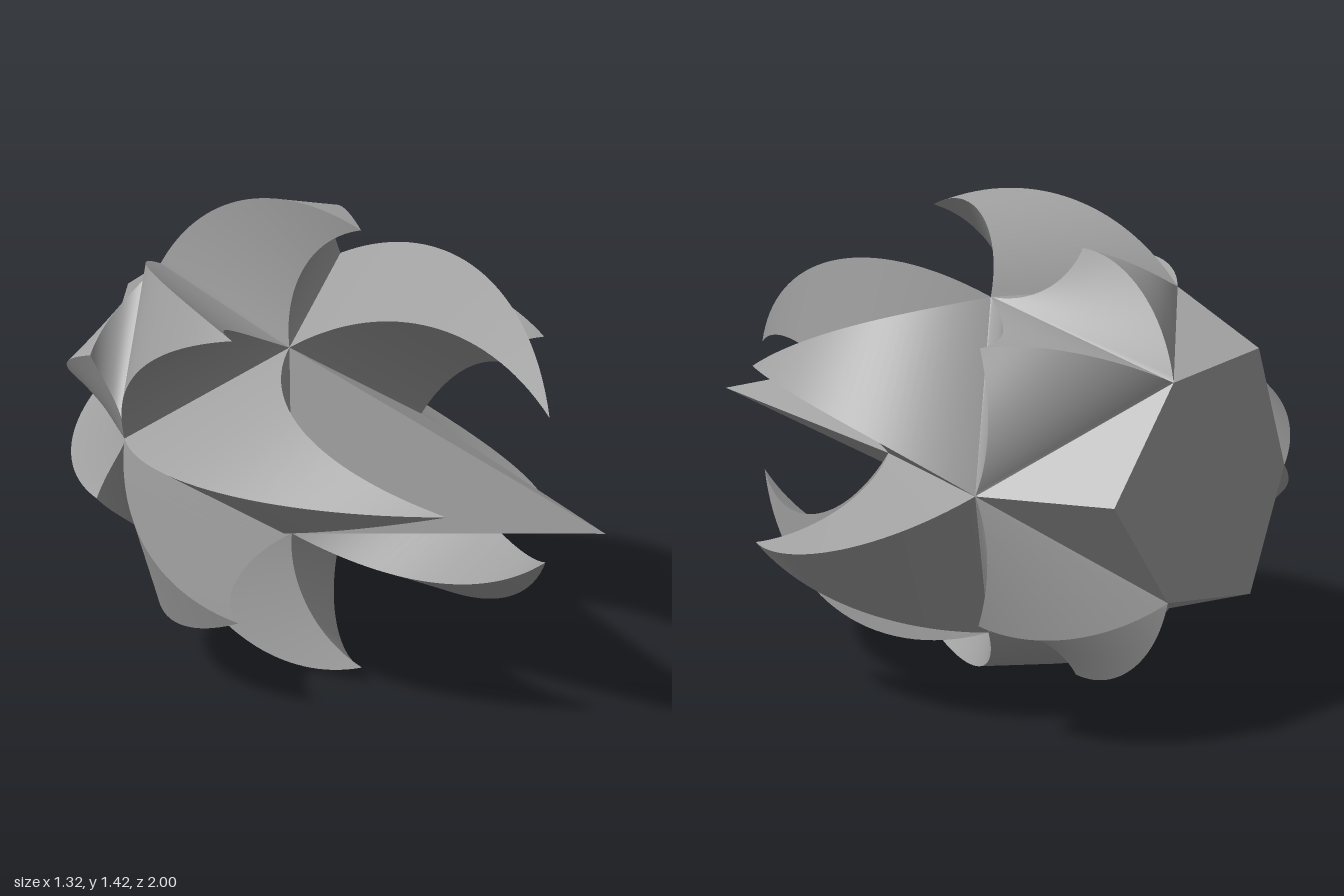
import * as THREE from 'three';

const S = 0.5696;                                    // edge of the icosahedral body
const CENTER = new THREE.Vector3(-0.042, 0.717, -0.5696);
const UP = new THREE.Vector3(0, 0, 1);               // direction the horns bend towards

// One kind of horn per ring of faces, chosen by how far the face turns to the front
const RINGS = [
  { min: 0.9, name: 'frontSpike', length: 2 * S, bend: 0, steps: 1 },
  { min: 0.5, name: 'innerHorn', length: 0.91, bend: Math.PI / 4, steps: 32 },
  { min: 0, name: 'outerHorn', length: 0.588, bend: Math.PI / 4, steps: 32 },
  { min: -0.5, name: 'rearHorn', length: 0.207, bend: Math.PI / 4, steps: 32 },
  { min: -0.9, name: 'rearPyramid', length: 0.147, bend: 0, steps: 1 },
  { min: -2, name: 'backPlate', length: 0, bend: 0, steps: 1 },
];

// Twelve body corners in four layers of three along z
function bodyCorners() {
  const r = S / Math.sqrt(3), R = r * (1 + Math.sqrt(5)) / 2;
  const layers = [[r, 0.7558, 0], [R, 0.1784, 60], [R, -0.1784, 0], [r, -0.7558, 60]];
  const corners = [];
  for (const [radius, z, start] of layers) {
    for (let i = 0; i < 3; i++) {
      const a = THREE.MathUtils.degToRad(start + i * 120);
      corners.push(new THREE.Vector3(radius * Math.cos(a), radius * Math.sin(a), z * S));
    }
  }
  return corners;
}

// Three-sided horn: the triangle shrinks while it rises and turns about its centre
function hornGeometry(tri, ring) {
  const c = new THREE.Vector3().add(tri[0]).add(tri[1]).add(tri[2]).divideScalar(3);
  const n = c.clone().normalize();
  const axis = new THREE.Vector3().crossVectors(n, UP);
  if (axis.length() < 1e-3) axis.set(1, 0, 0);
  axis.normalize();
  const point = (v, t) => v.clone().sub(c).multiplyScalar(1 - t)
    .addScaledVector(n, ring.length * t)
    .applyAxisAngle(axis, ring.bend * t).add(c);

  const positions = [], index = [];
  for (let side = 0; side < 3; side++) {             // separate sides keep the ridges sharp
    const a = tri[side], b = tri[(side + 1) % 3];
    const base = positions.length / 3;
    for (let i = 0; i <= ring.steps; i++) {
      const t = i / ring.steps;
      positions.push(...point(a, t).toArray(), ...point(b, t).toArray());
      if (i === ring.steps) break;
      const k = base + i * 2;
      index.push(k, k + 1, k + 2);
      if (i < ring.steps - 1) index.push(k + 1, k + 3, k + 2);
      else if (ring.steps > 1) index[index.length - 1] = k + 2;
    }
  }
  const g = new THREE.BufferGeometry();
  g.setAttribute('position', new THREE.Float32BufferAttribute(positions, 3));
  g.setIndex(index);
  g.computeVertexNormals();
  return g;
}

export function createModel() {
  const model = new THREE.Group();
  model.name = 'hornedSolid';
  const grey = new THREE.MeshStandardMaterial({ color: 0xa0a0a0, side: THREE.DoubleSide });
  grey.name = 'grey';

  const P = bodyCorners();
  const joined = (i, j) => P[i].distanceTo(P[j]) < S * 1.1;
  for (let i = 0; i < 12; i++) for (let j = i + 1; j < 12; j++) for (let k = j + 1; k < 12; k++) {
    if (!joined(i, j) || !joined(j, k) || !joined(i, k)) continue;
    // Order the corners so that the face looks outward
    const outward = P[i].clone().cross(P[j]).dot(P[k]) > 0;
    const tri = outward ? [P[i], P[j], P[k]] : [P[i], P[k], P[j]];
    const facing = P[i].clone().add(P[j]).add(P[k]).normalize().z;
    const ring = RINGS.find(r => facing > r.min);
    const mesh = new THREE.Mesh(hornGeometry(tri, ring), grey);
    mesh.name = ring.name;
    mesh.position.copy(CENTER);
    model.add(mesh);
  }
  return model;
}
